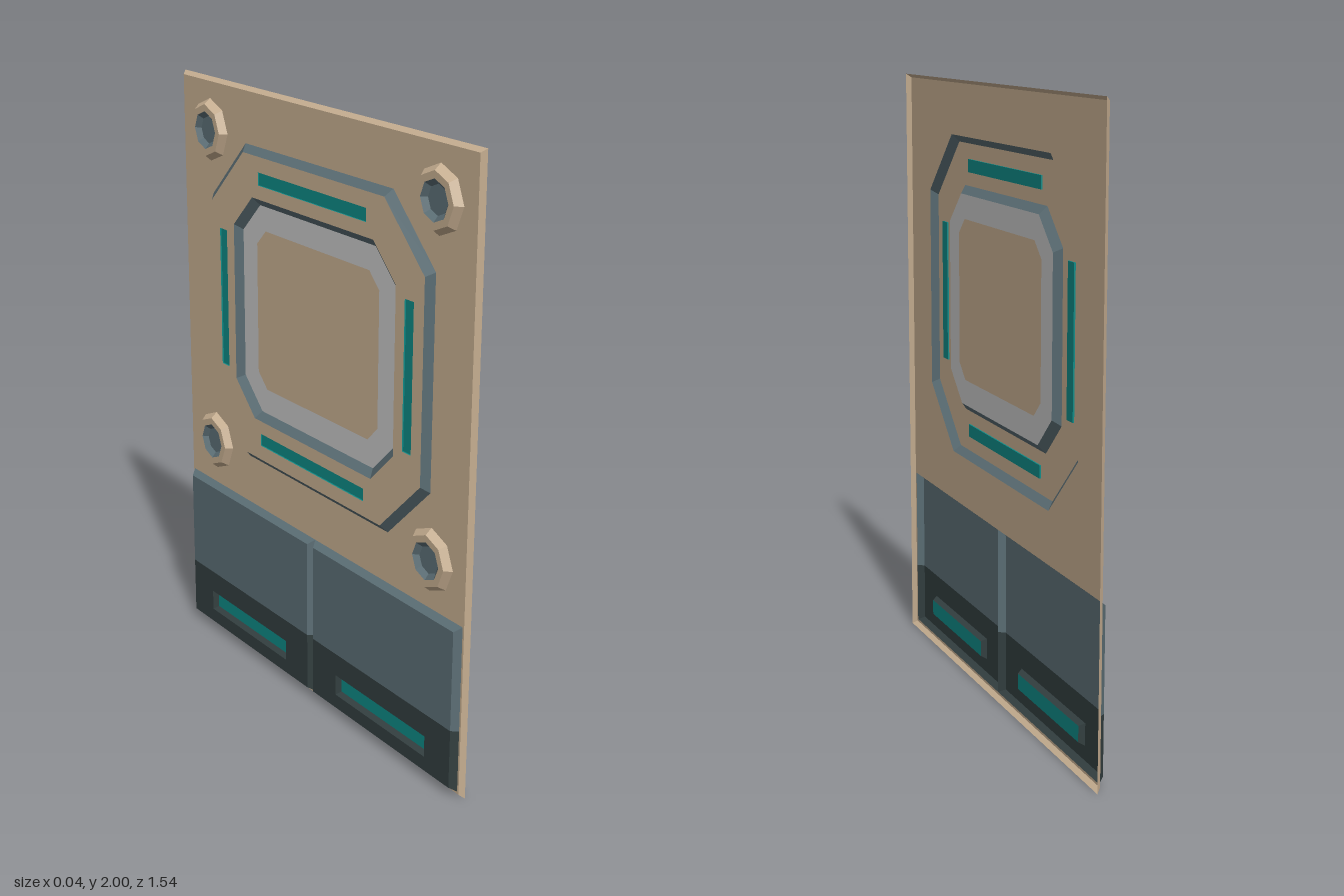
import * as THREE from 'three';

const mat = (name, color) => {
  const m = new THREE.MeshStandardMaterial({ color, side: THREE.DoubleSide });
  m.name = name;
  return m;
};

// Depth levels along x: pressed panel sheet with reliefs toward -x
const RIM = 0.018, PLATE = 0.003, RELIEF = -0.018;

// Outlines are lists of [z, y] points
const rect = (z0, z1, y0, y1) => [[z0, y0], [z1, y0], [z1, y1], [z0, y1]];
const chamfered = (w, y0, y1, c) => [
  [-w + c, y0], [w - c, y0], [w, y0 + c], [w, y1 - c],
  [w - c, y1], [-w + c, y1], [-w, y1 - c], [-w, y0 + c]];
const octagon = (z, y, r) => Array.from({ length: 8 }, (_, i) => {
  const a = i * Math.PI / 4;
  return [z + r * Math.cos(a), y + r * Math.sin(a)];
});

export function createModel() {
  const group = new THREE.Group();
  const beige = mat('beige', 0xc9b193), slate = mat('slate', 0x5d7077);
  const dark = mat('darkSlate', 0x333f40), teal = mat('teal', 0x0e8b87);
  const grey = mat('lightGrey', 0xc8c8c8);

  const add = (name, geo, material) => {
    const mesh = new THREE.Mesh(geo, material);
    mesh.name = name;
    group.add(mesh);
  };
  // Flat face at depth x, with optional holes
  const face = (name, outline, x, material, holes = []) => {
    const pts = (o) => o.map(([z, y]) => new THREE.Vector2(z, y));
    const shape = new THREE.Shape(pts(outline));
    shape.holes = holes.map((h) => new THREE.Path(pts(h)));
    add(name, new THREE.ShapeGeometry(shape).rotateY(-Math.PI / 2).translate(x, 0, 0), material);
  };
  // Sloped wall between two matching outlines at different depths
  const wall = (name, a, xa, b, xb, material, closed = true) => {
    const pos = [];
    const n = a.length;
    for (let i = 0; i < (closed ? n : n - 1); i++) {
      const j = (i + 1) % n;
      const p = [xa, a[i][1], a[i][0]], q = [xa, a[j][1], a[j][0]];
      const r = [xb, b[j][1], b[j][0]], s = [xb, b[i][1], b[i][0]];
      pos.push(...p, ...r, ...q, ...p, ...s, ...r);
    }
    const geo = new THREE.BufferGeometry();
    geo.setAttribute('position', new THREE.Float32BufferAttribute(pos, 3));
    geo.computeVertexNormals();
    add(name, geo, material);
  };

  // Base plate with flared rim
  const plateEdge = rect(-0.757, 0.757, 0.012, 1.988);
  const octOuter = chamfered(0.585, 0.75, 1.82, 0.2);
  const drawers = rect(-0.75, 0.75, 0.02, 0.58);
  face('basePlate', plateEdge, PLATE, beige, [octOuter, drawers]);
  wall('plateRim', rect(-0.77, 0.77, 0, 2), RIM, plateEdge, PLATE, beige);

  // Raised octagonal frame with light strips
  const octTop = chamfered(0.562, 0.773, 1.797, 0.192);
  const innerBase = chamfered(0.43, 0.91, 1.66, 0.11);
  const strips = [
    rect(-0.285, 0.285, 1.705, 1.747), rect(-0.285, 0.285, 0.823, 0.865),
    rect(0.473, 0.515, 1.05, 1.52), rect(-0.515, -0.473, 1.05, 1.52)];
  wall('frameOuterBevel', octOuter, PLATE, octTop, RELIEF, slate);
  face('octagonFrame', octTop, RELIEF, beige, [innerBase, ...strips]);
  for (const s of strips) {
    wall('lightStripEdge', s, RELIEF, s, RELIEF + 0.005, teal);
    face('lightStrip', s, RELIEF + 0.005, teal);
  }

  // Sunken centre with grey border
  const innerFloor = chamfered(0.405, 0.935, 1.635, 0.1);
  const centre = chamfered(0.325, 1.02, 1.555, 0.05);
  wall('frameInnerBevel', innerBase, RELIEF, innerFloor, PLATE, slate);
  face('greyBorder', innerFloor, PLATE, grey, [centre]);
  face('centrePanel', centre, PLATE, beige);

  // Corner bolts
  for (const z of [-0.595, 0.595]) {
    for (const y of [0.74, 1.83]) {
      const top = octagon(z, y, 0.085), bore = octagon(z, y, 0.062), floor = octagon(z, y, 0.045);
      wall('boltSide', octagon(z, y, 0.103), PLATE, top, RELIEF - 0.001, beige);
      face('boltRing', top, RELIEF - 0.001, beige, [bore]);
      wall('boltBore', bore, RELIEF - 0.001, floor, -0.004, slate);
      face('boltFloor', floor, -0.004, slate);
    }
  }

  // Pair of lower panels with a dark foot band and recessed teal lights
  const split = 0.23, inset = 0.017;
  for (const s of [-1, 1]) {
    const a = 0, b = 0.75 * s, ai = inset * s, bi = (0.75 - inset) * s;
    const yt = 0.58 - inset, yb = 0.02 + inset * 0.7;
    wall('panelUpperBevel', [[a, split], [a, 0.58], [b, 0.58], [b, split]], PLATE,
      [[ai, split], [ai, yt], [bi, yt], [bi, split]], RELIEF, slate, false);
    wall('panelLowerBevel', [[a, split], [a, 0.02], [b, 0.02], [b, split]], PLATE,
      [[ai, split], [ai, yb], [bi, yb], [bi, split]], RELIEF, dark, false);
    const slot = rect(0.145 * s, 0.612 * s, 0.08, 0.152);
    const light = rect(0.155 * s, 0.602 * s, 0.09, 0.142);
    face('upperPanel', rect(ai, bi, split, yt), RELIEF, slate);
    face('footBand', rect(ai, bi, yb, split), RELIEF, dark, [slot]);
    wall('slotWall', slot, RELIEF, light, PLATE - 0.003, dark);
    face('slotLight', light, PLATE - 0.003, teal);
  }
  return group;
}
